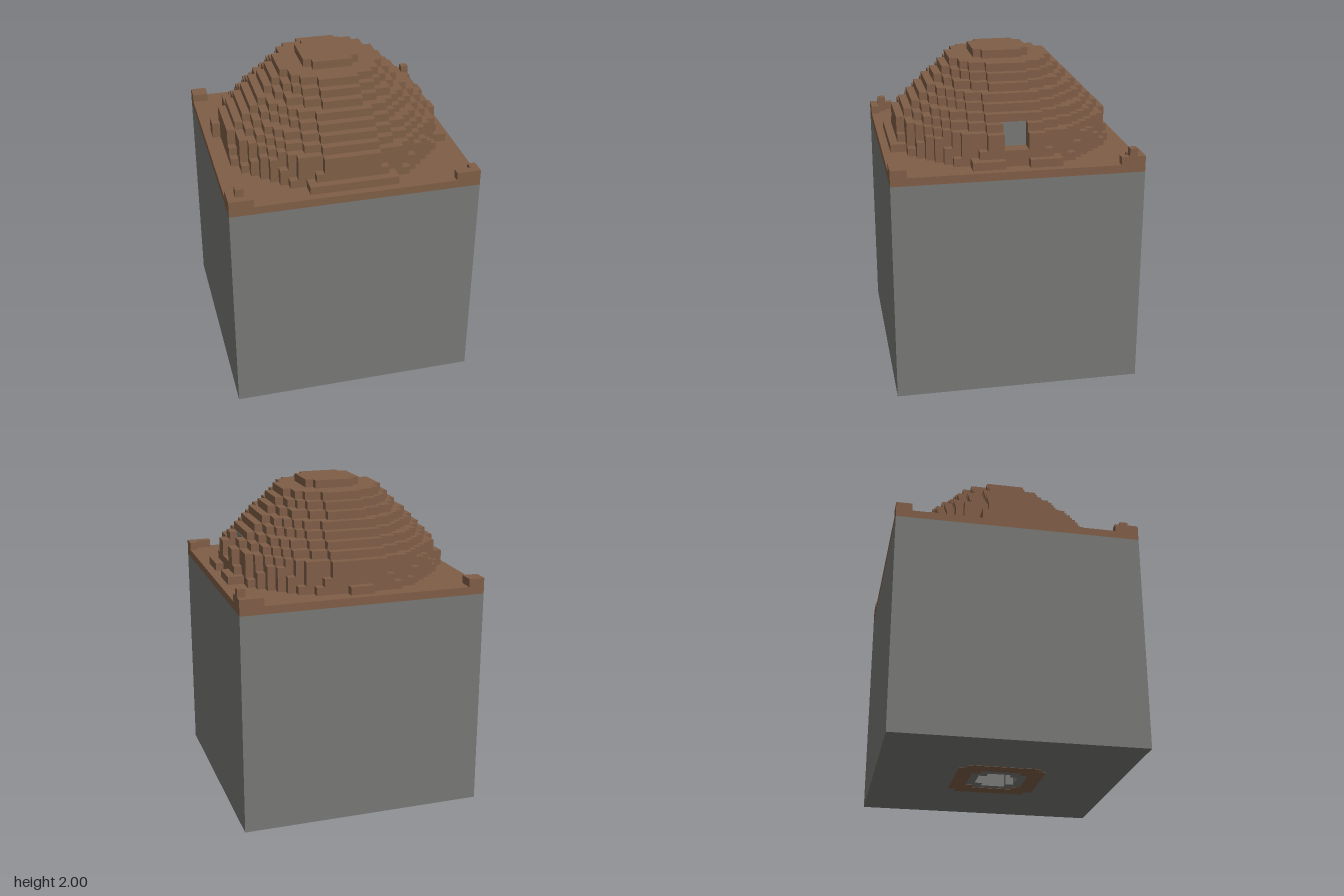
import * as THREE from 'three';
import { mergeGeometries } from 'three/addons/utils/BufferGeometryUtils.js';

const V = 2 / 41; // size of one block
const HALF = 15.5;

// Box covering blocks x0..x1, z0..z1 (block centres) and heights y0..y1 (block edges)
function blocks(x0, x1, y0, y1, z0, z1) {
  const g = new THREE.BoxGeometry((x1 - x0 + 1) * V, (y1 - y0) * V, (z1 - z0 + 1) * V);
  return g.translate((x0 + x1) / 2 * V, (y0 + y1) / 2 * V, (z0 + z1) / 2 * V);
}

// Square with stepped corners, in block units
function steppedSquare(PathType, h, c) {
  const pts = [];
  for (const [sx, sz] of [[1, 1], [-1, 1], [-1, -1], [1, -1]]) {
    const corner = [[h, h - c], [h - c, h - c], [h - c, h]];
    if (sx * sz < 0) corner.reverse();
    for (const [x, z] of corner) pts.push(new THREE.Vector2(sx * x * V, sz * z * V));
  }
  return new PathType(pts);
}

function slab(outer, hole, y0, y1) {
  if (hole) outer.holes.push(hole);
  const g = new THREE.ExtrudeGeometry(outer, { depth: y1 - y0, bevelEnabled: false });
  return g.rotateX(-Math.PI / 2).translate(0, y0, 0);
}

export function createModel() {
  const group = new THREE.Group();
  const earth = new THREE.MeshStandardMaterial({ color: 0x7f5e47 });
  earth.name = 'earth brown';
  const stone = new THREE.MeshStandardMaterial({ color: 0x777775 });
  stone.name = 'stone grey';
  const add = (name, geo, mat) => {
    const mesh = new THREE.Mesh(geo, mat);
    mesh.name = name;
    group.add(mesh);
  };

  // Stone base with a small recess underneath
  const plate = 0.002;
  const square = new THREE.Shape([[-1, -1], [1, -1], [1, 1], [-1, 1]]
    .map(([x, z]) => new THREE.Vector2(x * HALF * V, z * HALF * V)));
  add('stoneBaseLower', slab(square, steppedSquare(THREE.Path, 2.5, 1), plate, 4 * V), stone);
  add('stoneBase', blocks(-15, 15, 4, 28, -15, 15), stone);
  add('undersideRing', slab(steppedSquare(THREE.Shape, 5.5, 1),
    steppedSquare(THREE.Path, 3.5, 1), 0, plate), earth);

  // Earth layer on the base
  add('groundLayer', blocks(-15, 15, 28, 29, -15, 15), earth);

  // Stepped dome: one disc of block rows per level, radius in blocks
  const radii = [13.95, 13.7, 13.5, 13.45, 12.5, 11.5, 10.5, 9.5, 8.5, 7.5, 6.5, 3.8];
  const rows = [];
  radii.forEach((r, i) => {
    const level = 29 + i;
    for (let z = -Math.floor(r); z <= Math.floor(r); z++) {
      const w = Math.floor(Math.sqrt(r * r - z * z));
      const doorway = level >= 31 && level <= 33 && Math.abs(z) <= 1;
      rows.push(blocks(-w, doorway ? 11 : w, level, level + 1, z, z));
    }
  });
  add('dome', mergeGeometries(rows), earth);

  // Stone wall at the back of the doorway
  add('doorwayWall', blocks(10, 11, 31, 34, -1, 1).translate(0.003, 0, 0), stone);

  // Low ledges around the foot of the dome
  add('ledges', mergeGeometries([
    blocks(-5, 5, 29, 30, 14, 14),
    blocks(-1, 1, 29, 30, -14, -14),
    blocks(-14, -14, 29, 31, -4, -3),
    blocks(14, 14, 29, 30, -5, -2),
    blocks(14, 14, 29, 30, 2, 5),
  ]), earth);

  // Stepped mounds in the corners: row widths counted inwards from the z edge
  const mounds = [[-1, -1, [2, 2]], [1, -1, [3, 2, 1]], [-1, 1, [3, 2, 1]], [1, 1, [3, 1]]];
  const bits = [];
  for (const [sx, sz, widths] of mounds) {
    widths.forEach((w, i) => {
      const a = sx * 15, b = sx * (16 - w), z = sz * (15 - i);
      bits.push(blocks(Math.min(a, b), Math.max(a, b), 29, 30, z, z));
    });
  }
  bits.push(blocks(15, 15, 30, 31, -14, -14), blocks(-14, -14, 30, 31, 14, 14));
  add('cornerMounds', mergeGeometries(bits), earth);

  return group;
}
